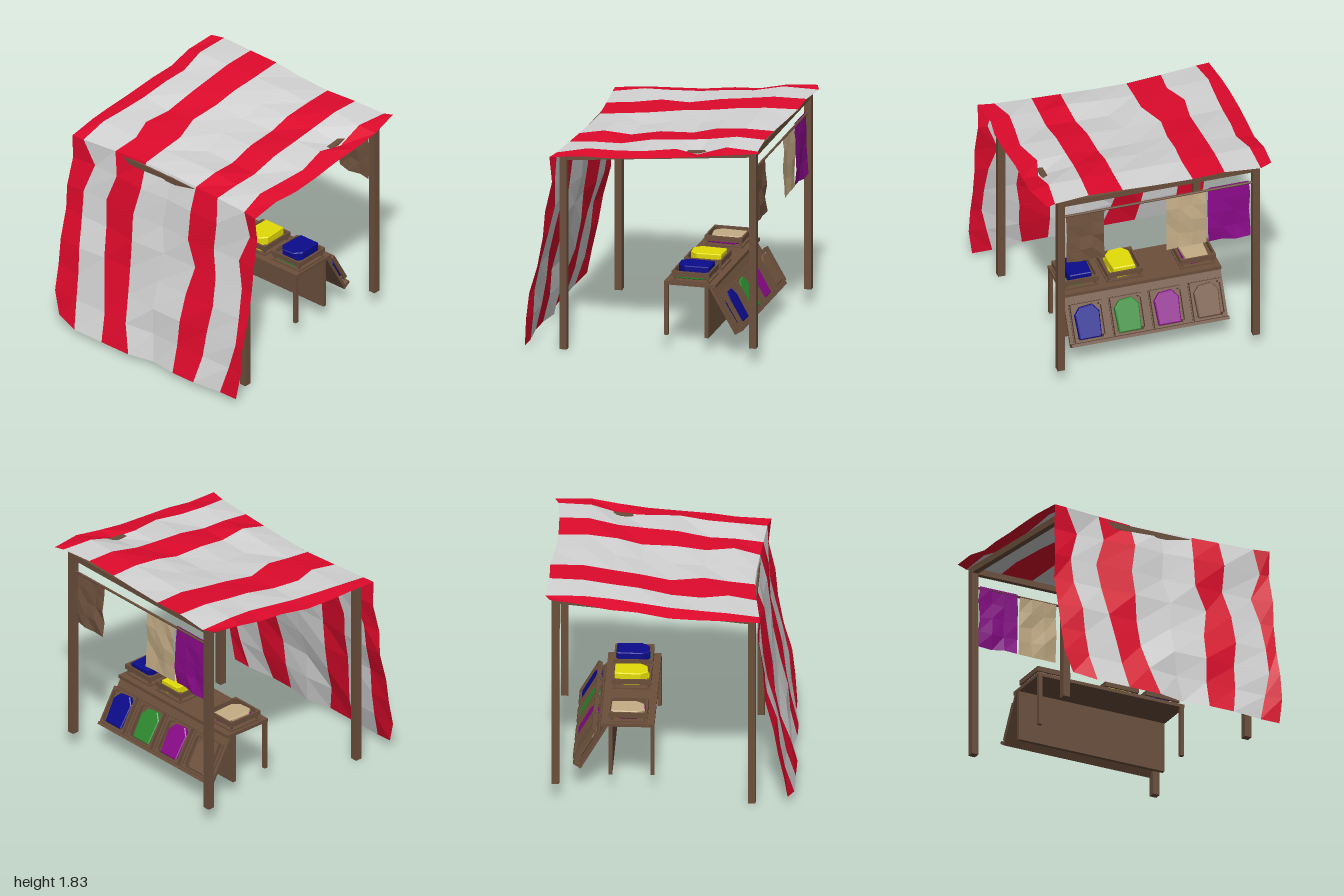
import * as THREE from 'three';

const mat = (name, color, extra = {}) => {
  const m = new THREE.MeshStandardMaterial({ color, flatShading: true, ...extra });
  m.name = name;
  return m;
};
const two = { side: THREE.DoubleSide };
const M = {
  red: mat('canvas red', 0xe00a2c, two),
  white: mat('canvas white', 0xd5d5d5, two),
  wood: mat('wood', 0x6b4f3b),
  blue: mat('blue cloth', 0x0b0b8c),
  green: mat('green cloth', 0x2d8a2f),
  purple: mat('purple cloth', 0x8b0a8b, two),
  yellow: mat('yellow cloth', 0xe3dc08),
  beige: mat('beige cloth', 0xc6ae87, two),
  brown: mat('brown cloth', 0x735540, two),
};

// repeatable noise in -1..1
const noise = (i, j, k = 0) => {
  const s = Math.sin(i * 127.1 + j * 311.7 + k * 74.7) * 43758.5453;
  return 2 * (s - Math.floor(s)) - 1;
};

function add(parent, name, geometry, material, x = 0, y = 0, z = 0) {
  const m = new THREE.Mesh(geometry, material);
  m.name = name;
  m.position.set(x, y, z);
  parent.add(m);
  return m;
}
const box = (parent, name, w, h, d, x, y, z) =>
  add(parent, name, new THREE.BoxGeometry(w, h, d), M.wood, x, y, z);

function group(parent, name, x = 0, y = 0, z = 0) {
  const g = new THREE.Group();
  g.name = name;
  g.position.set(x, y, z);
  parent.add(g);
  return g;
}

// striped sheet: each row lists the x of the stripe borders, point() lifts them into space
function stripedSheet(parent, name, rows, point) {
  const g = group(parent, name);
  const full = rows.map(r => [...r.slice(0, 4), (r[3] + r[4]) / 2, ...r.slice(4)]);
  const stripes = [[0, 1], [1, 2], [2, 3], [3, 5], [5, 6], [6, 7], [7, 8]];
  stripes.forEach(([a, b], s) => {
    const pos = [], idx = [], n = b - a + 1;
    full.forEach((r, j) => { for (let i = a; i <= b; i++) pos.push(...point(i, j, r[i])); });
    for (let j = 0; j < full.length - 1; j++)
      for (let i = 0; i < n - 1; i++) {
        const p = j * n + i;
        idx.push(p, p + n, p + 1, p + 1, p + n, p + n + 1);
      }
    const geo = new THREE.BufferGeometry();
    geo.setAttribute('position', new THREE.Float32BufferAttribute(pos, 3));
    geo.setIndex(idx);
    geo.computeVertexNormals();
    add(g, name + 'Stripe', geo, s % 2 ? M.white : M.red);
  });
}

// open slatted crate, standing on its own y = 0
function crate(parent, w, h, d, rails, x, y, z) {
  const g = group(parent, 'crate', x, y, z), t = 0.015;
  box(g, 'crateFloor', w - t, 0.01, d - t, 0, 0.005, 0);
  for (const s of [-1, 1]) {
    for (const [y0, y1] of rails) {
      box(g, 'crateEndSlat', t, y1 - y0, d, s * (w - t) / 2, (y0 + y1) / 2, 0);
      box(g, 'crateSideSlat', w - 2 * t, y1 - y0, t, 0, (y0 + y1) / 2, s * (d - t) / 2);
    }
    for (const e of [-1, 1])
      box(g, 'cratePost', 0.018, h, 0.018, s * (w / 2 - 0.022), h / 2, e * (d / 2 - 0.022));
  }
  return g;
}

// folded garment lying flat between heights y and y + h
const outline = [[-0.085, -0.13], [0.085, -0.13], [0.095, 0.06], [0.05, 0.115], [-0.05, 0.125], [-0.095, 0.07]];
const foldShape = new THREE.Shape(outline.map(([x, y]) => new THREE.Vector2(x, -y)));
function foldedCloth(parent, material, y, h, turn = 0) {
  const bevel = 0.006;
  const geo = new THREE.ExtrudeGeometry(foldShape, {
    depth: h - 2 * bevel, bevelEnabled: true, bevelSize: 0.008, bevelThickness: bevel, bevelSegments: 1,
  });
  geo.rotateX(-Math.PI / 2);
  add(parent, 'foldedCloth', geo, material, 0, y + bevel, 0).rotation.y = turn;
}

function buildFrame(root) {
  const g = group(root, 'frame');
  for (const x of [-0.84, 0.81]) {
    box(g, 'frontPole', 0.06, 1.645, 0.06, x, 0.8225, 0.665);
    box(g, 'backPole', 0.06, 1.66, 0.06, x, 0.97, -0.918);
    const beam = box(g, 'sideBeam', 0.05, 0.055, 1.58, x, 1.7, -0.125);
    beam.rotation.x = Math.atan2(0.155, 1.58);
  }
  box(g, 'frontBeam', 1.65, 0.05, 0.04, -0.015, 1.615, 0.665);
  box(g, 'backBeam', 1.65, 0.05, 0.04, -0.015, 1.77, -0.918);
  const rail = add(g, 'hangingRail', new THREE.CylinderGeometry(0.01, 0.01, 1.65, 6), M.wood, -0.015, 1.635, -0.918);
  rail.rotation.z = Math.PI / 2;
}

function buildCanvas(root) {
  // roof rows run from back to front
  const roof = [
    [-0.96, -0.86, -0.56, -0.29, 0.29, 0.58, 0.87, 0.94],
    [-0.98, -0.86, -0.565, -0.28, 0.295, 0.57, 0.84, 1.0],
    [-0.97, -0.82, -0.57, -0.30, 0.285, 0.55, 0.85, 0.99],
    [-0.98, -0.84, -0.57, -0.30, 0.285, 0.55, 0.80, 0.98],
    [-1.0, -0.85, -0.58, -0.33, 0.29, 0.55, 0.855, 0.99],
    [-1.0, -0.865, -0.61, -0.245, 0.31, 0.555, 0.82, 0.99],
    [-0.99, -0.88, -0.53, -0.25, 0.32, 0.55, 0.80, 0.96],
    [-0.97, -0.86, -0.55, -0.25, 0.30, 0.54, 0.845, 0.98],
  ];
  const roofZ = [-1, -0.71, -0.47, -0.26, 0, 0.25, 0.46, 0.73];
  const roofY = [1.82, 1.812, 1.778, 1.755, 1.724, 1.703, 1.692, 1.66];
  const backZ = [-0.96, -1, -0.98, -0.985, -0.96, -0.945, -0.95, -0.97, -1];
  const frontZ = [0.735, 0.725, 0.69, 0.66, 0.665, 0.68, 0.695, 0.715, 0.74];
  const edge = (i, x) => [x, 1.66, frontZ[i]];
  // canvas droops at its side edges, rests on the side beams and ripples between them
  const ripple = (i, j) => {
    if (i === 7 && j === 2) return -0.035;
    if (i === 0 || i === 8) return -0.018 + 0.01 * noise(i, j);
    return i === 1 || i === 7 ? 0.01 * Math.abs(noise(i, j)) : 0.018 * noise(i, j);
  };
  stripedSheet(root, 'roofCanvas', roof, (i, j, x) => {
    if (j === 7) return edge(i, x);
    if (j === 0) return [x, 1.822 + 0.013 * noise(i, 3), backZ[i]];
    return [x, roofY[j] + ripple(i, j), roofZ[j] + 0.01 * noise(i, j, 2)];
  });

  // front sheet rows run from top to bottom
  const sheet = [
    roof[7],
    [-0.97, -0.755, -0.515, -0.24, 0.29, 0.57, 0.905, 0.985],
    [-0.99, -0.835, -0.60, -0.29, 0.29, 0.545, 0.81, 0.995],
    [-1.0, -0.825, -0.57, -0.275, 0.38, 0.605, 0.875, 0.99],
    [-1.0, -0.785, -0.535, -0.275, 0.33, 0.62, 0.895, 0.99],
    [-0.99, -0.775, -0.495, -0.26, 0.32, 0.585, 0.90, 0.99],
    [-0.985, -0.76, -0.46, -0.22, 0.31, 0.575, 0.85, 0.995],
    [-0.92, -0.72, -0.43, -0.145, 0.31, 0.53, 0.79, 0.96],
  ];
  const sheetY = [1.66, 1.45, 1.2, 0.98, 0.73, 0.5, 0.28, 0.045];
  const sheetZ = [0.72, 0.725, 0.758, 0.797, 0.845, 0.888, 0.927, 0.975];
  const footZ = [0.955, 1, 1, 1, 0.95, 0.98, 0.98, 0.95, 0.95];
  stripedSheet(root, 'frontCanvas', sheet, (i, j, x) => {
    if (j === 0) return edge(i, x);
    if (j === 7) return [x, i ? 0.045 : 0.09, footZ[i]];
    return [x, sheetY[j], sheetZ[j] + 0.02 * noise(i, j, 5)];
  });
}

function buildHangings(root) {
  // x centre, width, top, bottom
  const cloths = [[0.595, 0.32, 1.64, 1.17, M.brown], [-0.25, 0.34, 1.64, 1.12, M.beige], [-0.615, 0.35, 1.65, 1.12, M.purple]];
  cloths.forEach(([x, w, top, bottom, material], k) => {
    const geo = new THREE.PlaneGeometry(w, top - bottom, 3, 4), p = geo.attributes.position;
    for (let i = 0; i < p.count; i++) {
      const row = Math.floor(i / 4);
      p.setX(i, p.getX(i) + 0.008 * noise(i, k, 1));
      p.setY(i, p.getY(i) + (row ? 0.012 * noise(i, k, 2) : 0));
      p.setZ(i, row ? 0.013 * noise(i, k, 3) : 0.011);
    }
    geo.computeVertexNormals();
    add(root, 'hangingCloth', geo, material, x, (top + bottom) / 2, -0.92);
  });
}

function buildTable(root) {
  const g = group(root, 'table');
  box(g, 'tableTop', 1.33, 0.028, 0.43, 0, 0.578, -0.345);
  for (const x of [-0.645, 0.645]) box(g, 'tableLeg', 0.032, 0.43, 0.032, x, 0.352, -0.145);
  box(g, 'tablePanel', 1.322, 0.43, 0.032, 0, 0.352, -0.485);

  // crates standing on the table: lower cloth, upper cloth, height of the upper one
  const stock = [[0.5, M.green, M.blue, 0.08], [0.13, M.yellow, M.yellow, 0.075], [-0.49, M.purple, M.beige, 0.035]];
  for (const [x, low, high, h] of stock) {
    const c = crate(g, 0.3, 0.085, 0.315, [[0, 0.012], [0.042, 0.085]], x, 0.592, -0.345);
    foldedCloth(c, low, 0.01, 0.031, Math.PI);
    foldedCloth(c, high, 0.041, h);
  }

  // sloping display with four crates; local y points out of the slope
  const slope = group(g, 'slopingDisplay', 0, 0.57, -0.5);
  slope.rotation.x = -Math.PI / 3;
  box(slope, 'displayBoard', 1.33, 0.025, 0.44, 0, 0.014, -0.225);
  box(slope, 'displayLip', 1.33, 0.075, 0.025, 0, 0.038, -0.43);
  [M.blue, M.green, M.purple, M.brown].forEach((material, i) => {
    const c = crate(slope, 0.27, 0.07, 0.31, [[0, 0.012], [0.034, 0.07]], 0.5 - i * 0.335, 0.028, -0.253);
    foldedCloth(c, material, 0.01, 0.047);
  });
}

export function createModel() {
  const root = new THREE.Group();
  root.name = 'marketStall';
  buildFrame(root);
  buildCanvas(root);
  buildHangings(root);
  buildTable(root);
  return root;
}
